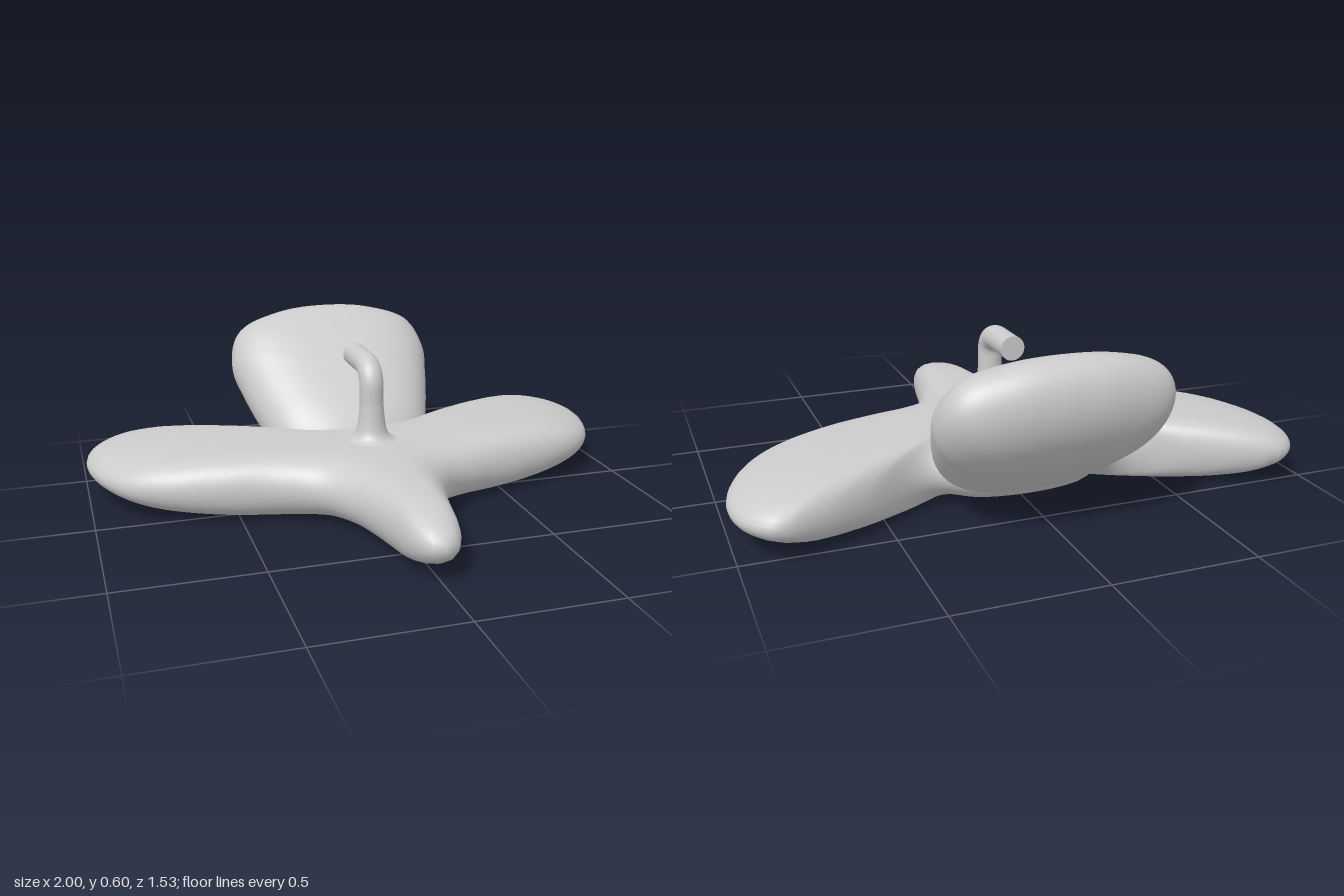
import * as THREE from 'three';
import { mergeVertices } from 'three/addons/utils/BufferGeometryUtils.js';

const material = new THREE.MeshStandardMaterial({ color: 0xcccccc });

function addMesh(parent, name, geometry) {
  const mesh = new THREE.Mesh(geometry, material);
  mesh.name = name;
  parent.add(mesh);
  return mesh;
}

// Cushion-like solid: a mirrored outline in x/z, inflated by halfHeight.
// half runs from the front tip round the +x side to the back tip.
function pillow(half, centreZ, halfHeight, power, lift = () => 0) {
  const mirrored = half.slice(1, -1).reverse().map(([x, z]) => [-x, z]);
  const curve = new THREE.CatmullRomCurve3(
    [...half, ...mirrored].map(([x, z]) => new THREE.Vector3(x, 0, z)), true, 'centripetal');
  const N = 140, M = 36;
  const rim = curve.getSpacedPoints(N);
  const positions = [], index = [];
  for (let j = 0; j <= M; j++) {
    const phi = (j / M) * Math.PI;
    const s = j === 0 || j === M ? 0 : Math.sin(phi);
    const h = Math.sign(M / 2 - j) * halfHeight * Math.sqrt(Math.max(0, 1 - s ** power));
    for (let i = 0; i < N; i++) {
      const z = centreZ + (rim[i].z - centreZ) * s;
      positions.push(rim[i].x * s, h + lift(z), z);
      if (j === M) continue;
      const k = (i + 1) % N;
      const a = j * N + i, b = j * N + k, c = a + N, d = b + N;
      if (j < M - 1) index.push(a, c, d);
      if (j > 0) index.push(a, d, b);
    }
  }
  const geometry = new THREE.BufferGeometry();
  geometry.setAttribute('position', new THREE.Float32BufferAttribute(positions, 3));
  geometry.setIndex(index);
  const merged = mergeVertices(geometry, 1e-5);
  merged.computeVertexNormals();
  return merged;
}

export function createModel() {
  const model = new THREE.Group();
  model.name = 'model';

  // Flat body: narrow front arm and two broad side lobes
  const bodyOutline = [
    [0, 0.77], [0.045, 0.75], [0.08, 0.69], [0.1, 0.6], [0.13, 0.46], [0.17, 0.33],
    [0.25, 0.21], [0.4, 0.14], [0.6, 0.09], [0.76, 0.035], [0.89, -0.05], [0.97, -0.19],
    [1, -0.35], [0.97, -0.48], [0.89, -0.555], [0.76, -0.53], [0.6, -0.46],
    [0.33, -0.33], [0.2, -0.41], [0, -0.44],
  ];
  addMesh(model, 'body', pillow(bodyOutline, 0, 0.118, 4.5)).position.y = 0.123;

  // Rear lobe, tilted upwards with its tip curling up a little
  const lobeOutline = [
    [0, 0.1], [0.16, 0.07], [0.28, -0.04], [0.335, -0.19], [0.38, -0.36],
    [0.4, -0.48], [0.36, -0.61], [0.2, -0.68], [0, -0.7],
  ];
  const curl = (z) => 0.06 * Math.max(0, -z / 0.69) ** 4;
  const lobe = addMesh(model, 'rearLobe', pillow(lobeOutline, -0.32, 0.165, 3.2, curl));
  lobe.position.set(0, 0.113, -0.195);
  lobe.rotation.x = 0.605;

  // Bent pipe rising from the middle and pointing back
  const radius = 0.043;
  const p = (y, z) => new THREE.Vector3(0, y, z);
  const path = new THREE.CurvePath();
  path.add(new THREE.LineCurve3(p(0.2, 0), p(0.43, 0)));
  path.add(new THREE.QuadraticBezierCurve3(p(0.43, 0), p(0.505, 0), p(0.507, -0.085)));
  path.add(new THREE.LineCurve3(p(0.507, -0.085), p(0.507, -0.22)));
  addMesh(model, 'pipe', new THREE.TubeGeometry(path, 48, radius, 24));

  const cap = addMesh(model, 'pipeEnd', new THREE.CircleGeometry(radius, 24));
  cap.position.set(0, 0.507, -0.22);
  cap.rotation.y = Math.PI;

  // Flared foot blending the pipe into the body
  const flare = new THREE.SplineCurve([
    [0.12, 0.232], [0.085, 0.243], [0.06, 0.265], [0.049, 0.31], [0.0425, 0.38],
  ].map(([r, y]) => new THREE.Vector2(r, y)));
  addMesh(model, 'pipeFoot', new THREE.LatheGeometry(flare.getPoints(16), 32));

  return model;
}
